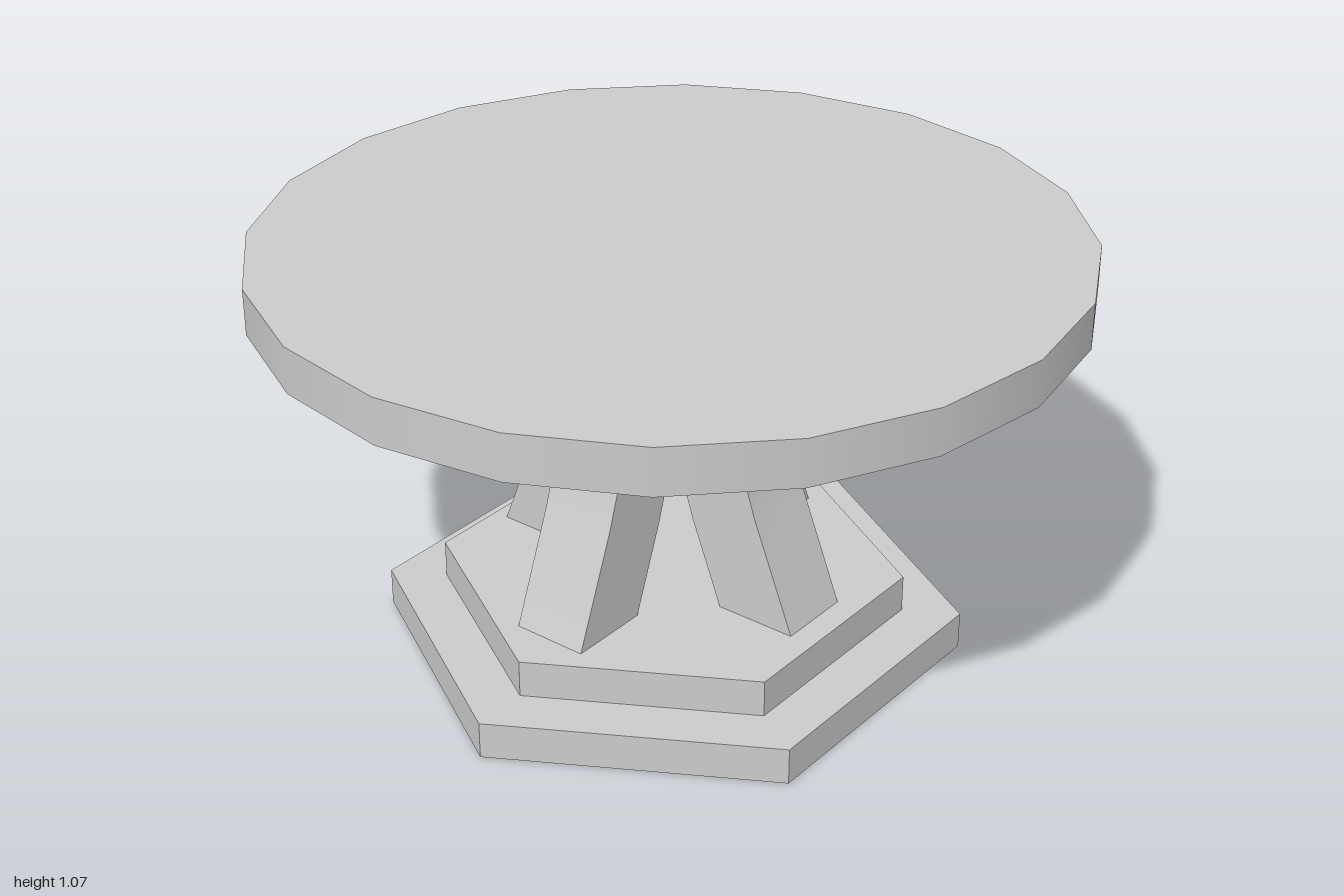
import * as THREE from 'three';
import { toCreasedNormals } from 'three/addons/utils/BufferGeometryUtils.js';

const material = new THREE.MeshStandardMaterial({ color: 0xcccccc });
const flatMaterial = new THREE.MeshStandardMaterial({ color: 0xcccccc, flatShading: true });

// Upright prism standing on y = bottom
function disc(name, radius, bottom, top, sides, turn, mat) {
  const geometry = new THREE.CylinderGeometry(radius, radius, top - bottom, sides, 1, false, turn);
  const mesh = new THREE.Mesh(geometry, mat);
  mesh.name = name;
  mesh.position.y = (bottom + top) / 2;
  return mesh;
}

// Curved leg: side outline (distance from centre, height) extruded to its width
function legGeometry() {
  const outline = [
    [0.465, 0.18], [0.347, 0.475], [0.29, 0.65], [0.308, 0.84], [0.4, 0.905],
    [0.545, 0.927], [0.67, 0.912], [0.53, 0.955], [0.325, 0.947], [0.2, 0.893],
    [0.13, 0.775], [0.112, 0.57], [0.165, 0.405], [0.252, 0.18],
  ];
  const shape = new THREE.Shape(outline.map(([r, y]) => new THREE.Vector2(r, y)));
  const geometry = new THREE.ExtrudeGeometry(shape, { depth: 0.195, bevelEnabled: false });
  geometry.translate(0, 0, -0.0975);
  return toCreasedNormals(geometry, Math.PI / 6);
}

export function createModel() {
  const model = new THREE.Group();
  model.name = 'pedestalTable';

  // Two stepped hexagonal plinths with corners on the x axis
  model.add(disc('lowerBase', 0.725, 0, 0.095, 6, Math.PI / 6, flatMaterial));
  model.add(disc('upperBase', 0.58, 0.095, 0.19, 6, Math.PI / 6, flatMaterial));

  // Round table top
  model.add(disc('tableTop', 1, 0.955, 1.07, 20, 0, material));

  // Four legs, the front one set slightly inward
  const geometry = legGeometry();
  const legs = [
    ['leftLeg', 0, 0, -0.005],
    ['backLeg', Math.PI / 2, 0, -0.003],
    ['rightLeg', Math.PI, -0.003, -0.005],
    ['frontLeg', -Math.PI / 2, 0, -0.023],
  ];
  for (const [name, angle, x, z] of legs) {
    const leg = new THREE.Mesh(geometry, material);
    leg.name = name;
    leg.rotation.y = angle;
    leg.position.set(x, 0, z);
    model.add(leg);
  }
  return model;
}
